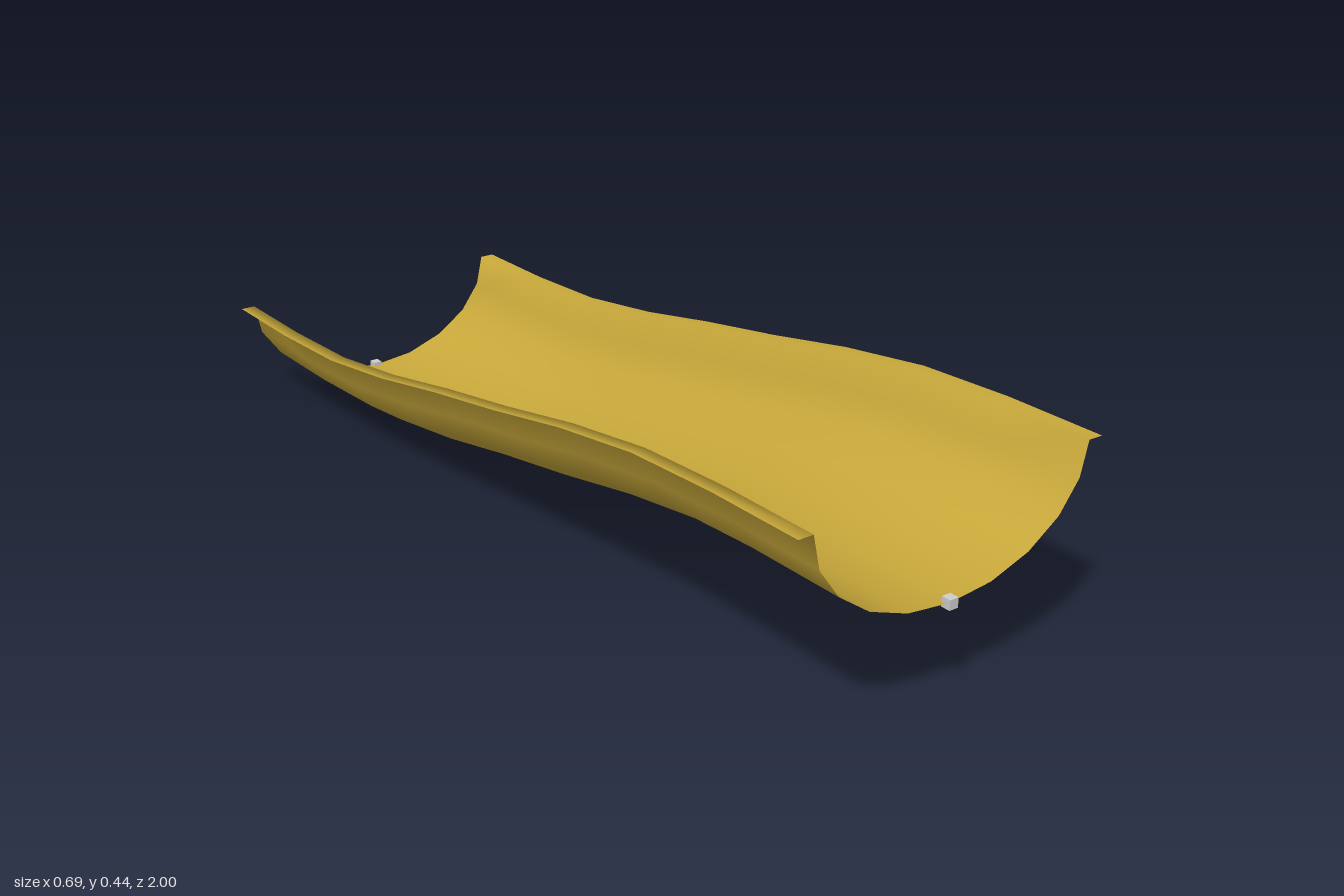
import * as THREE from 'three';

const brass = new THREE.MeshStandardMaterial({ color: 0xc8a83a, side: THREE.DoubleSide });
brass.name = 'brass yellow';
const grey = new THREE.MeshStandardMaterial({ color: 0xcccccc });
grey.name = 'light grey';

const HALF = 0.99, HIGH = 0.215, LOW = 0.01;

// Half-elliptical trough with a flat lip on each side: [x, height above the bottom]
function crossSection() {
  const points = [[-0.347, 0.22]];
  for (let i = -5; i <= 5; i++) {
    const a = (i * Math.PI) / 10;
    points.push([0.315 * Math.sin(a), 0.22 * (1 - Math.cos(a))]);
  }
  points.push([0.347, 0.22]);
  return points;
}

// Stations from the high front end to the low back end, as an S-curve: [z, y]
function spine() {
  const drops = [0, 0.005, 0.055, 0.205, 0.41];
  const full = [...drops, ...drops.map((d) => 1 - d).reverse()];
  return full.map((d, i) => [HALF - (2 * HALF * i) / (full.length - 1), HIGH - d * (HIGH - LOW)]);
}

// Sweep the section along the spine, keeping it upright
function sweep(section, path) {
  const positions = [], indices = [], n = section.length;
  path.forEach(([z, y], i) => {
    section.forEach(([px, py], j) => {
      positions.push(px, y + py, z);
      if (i < path.length - 1 && j < n - 1) {
        const a = i * n + j, b = a + 1, c = a + n, d = c + 1;
        indices.push(a, b, c, b, d, c);
      }
    });
  });
  const geometry = new THREE.BufferGeometry();
  geometry.setAttribute('position', new THREE.Float32BufferAttribute(positions, 3));
  geometry.setIndex(indices);
  geometry.computeVertexNormals();
  return geometry;
}

export function createModel() {
  const group = new THREE.Group();
  group.name = 'slide';

  const trough = new THREE.Mesh(sweep(crossSection(), spine()), brass);
  trough.name = 'trough';
  group.add(trough);

  // Small connector cubes at the two ends
  for (const [name, y, z] of [['frontConnector', HIGH + 0.002, HALF], ['backConnector', LOW, -HALF]]) {
    const cube = new THREE.Mesh(new THREE.BoxGeometry(0.02, 0.02, 0.02), grey);
    cube.name = name;
    cube.position.set(0, y, z);
    group.add(cube);
  }
  return group;
}
